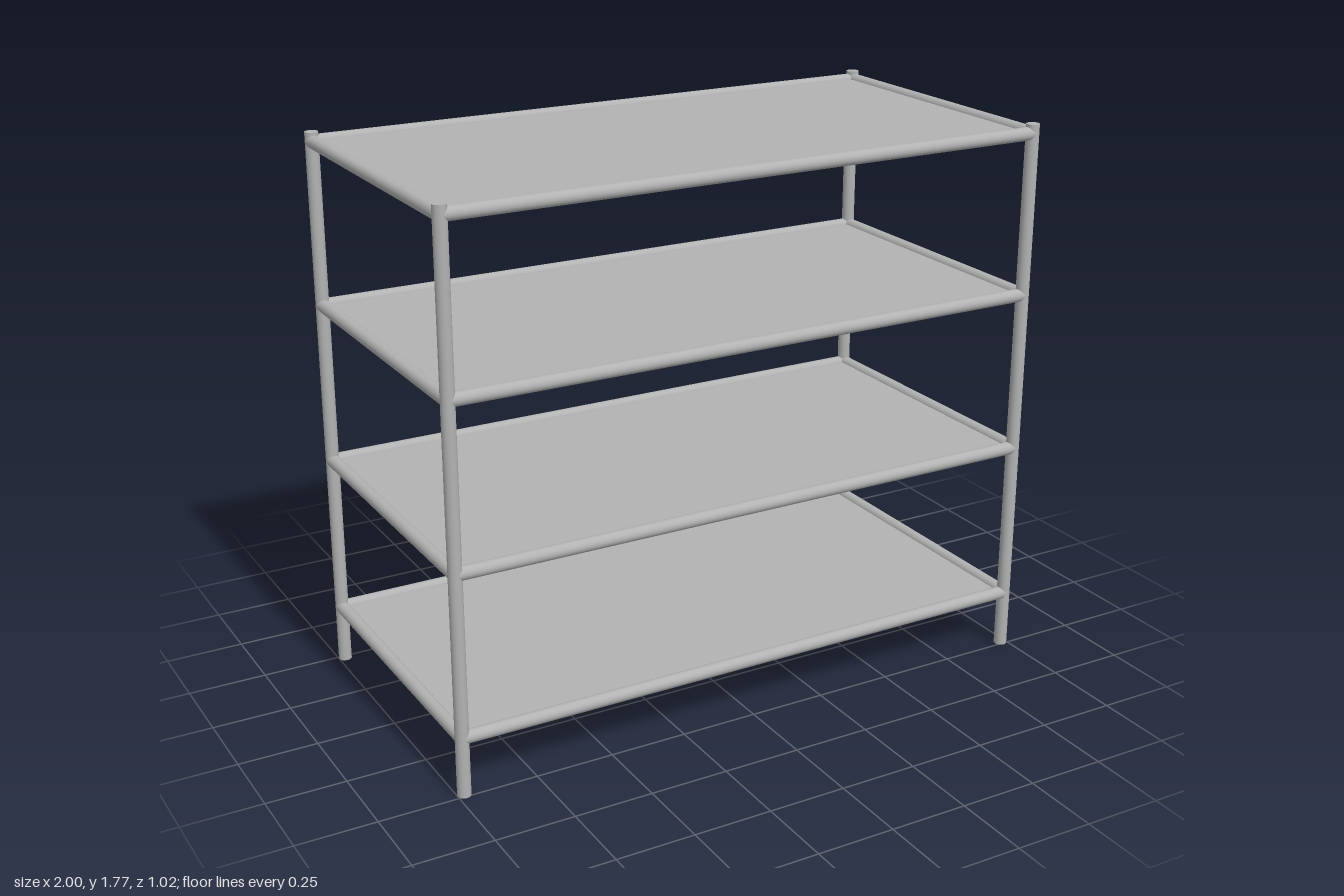
import * as THREE from 'three';

const X = 0.979, Z = 0.488, R = 0.021, HEIGHT = 1.768;
const LEVELS = [0.188, 0.705, 1.222, 1.738];

export function createModel() {
  const group = new THREE.Group();
  const steel = new THREE.MeshStandardMaterial({ color: 0xb2b2b2 });
  steel.name = 'grey steel';

  const add = (name, geometry, x, y, z) => {
    const mesh = new THREE.Mesh(geometry, steel);
    mesh.name = name;
    mesh.position.set(x, y, z);
    group.add(mesh);
  };

  // Tubes: upright posts, long rails along x, short rails along z
  const post = new THREE.CylinderGeometry(R, R, HEIGHT, 32);
  const longRail = new THREE.CylinderGeometry(R, R, 2 * X, 32).rotateZ(Math.PI / 2);
  const shortRail = new THREE.CylinderGeometry(R, R, 2 * Z, 32).rotateX(Math.PI / 2);
  const panel = new THREE.BoxGeometry(2 * X, 0.01, 2 * Z);

  // Four corner posts
  for (const sx of [-1, 1]) {
    for (const sz of [-1, 1]) add('post', post, sx * X, HEIGHT / 2, sz * Z);
  }

  // Each shelf is a thin panel framed by four rails
  for (const y of LEVELS) {
    add('shelfPanel', panel, 0, y, 0);
    for (const s of [-1, 1]) {
      add('longRail', longRail, 0, y, s * Z);
      add('shortRail', shortRail, s * X, y, 0);
    }
  }
  return group;
}
